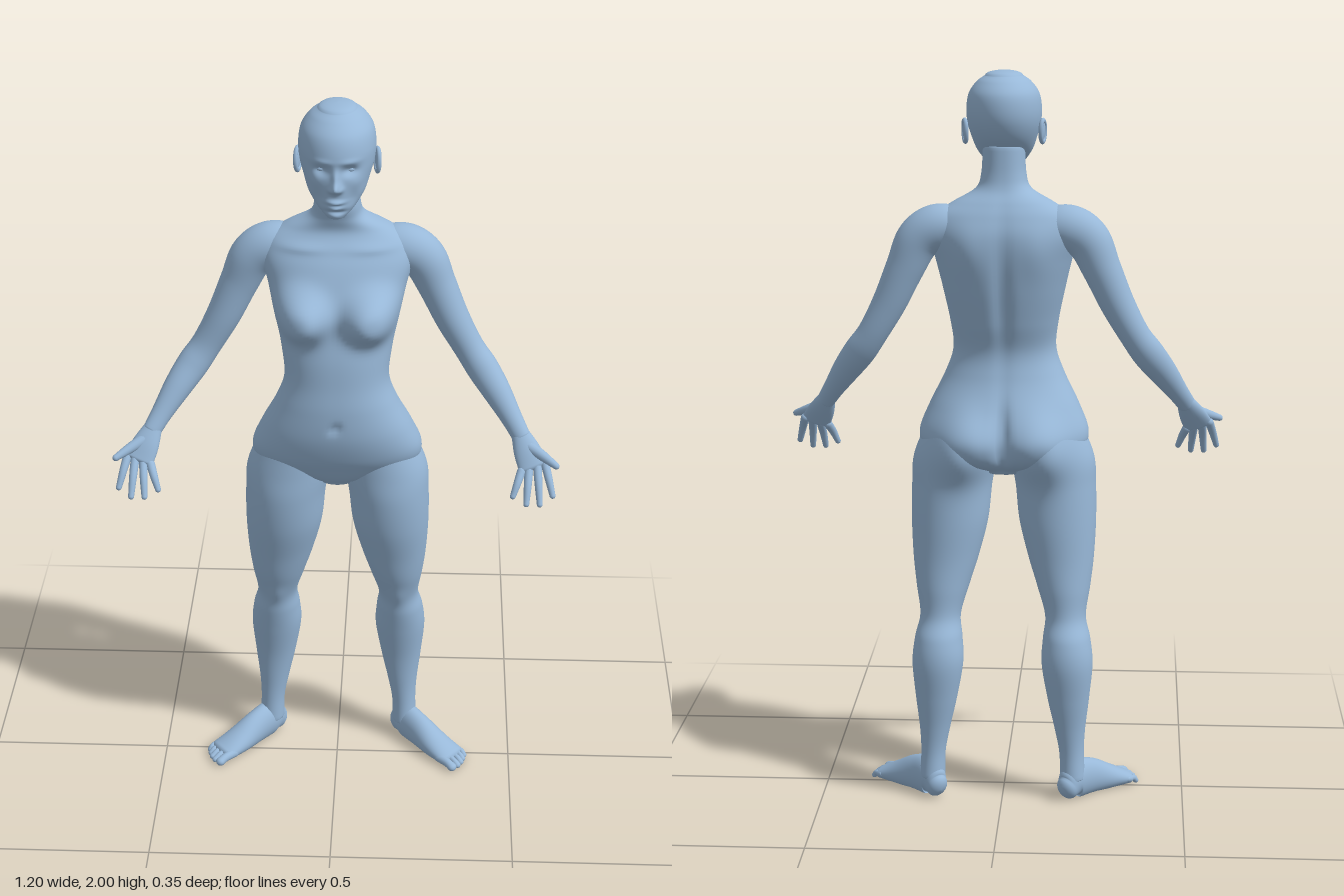
import * as THREE from 'three';

const V = (x, y, z) => new THREE.Vector3(x, y, z);
const UP = V(0, 1, 0), FRONT = V(0, 0, 1);
const skin = new THREE.MeshStandardMaterial({ color: 0x98b8d8 });
skin.name = 'skinBlue';

// Smooth skin over rings [x, y, z, a, b]; b lies along ref, a across it. Both ends are domed.
function loft(rings, { ref = FRONT, axis = null, around = 32, steps = 8, cap = 1, power = 1 } = {}) {
  const curve = (f) => new THREE.CatmullRomCurve3(rings.map(f), false, 'catmullrom', 0.5);
  const path = curve((r) => V(r[0], r[1], r[2]));
  const size = curve((r) => V(r[3], r[4], 0));
  const n = steps * (rings.length - 1), dome = 6;
  const pos = [], index = [];
  const bend = (v) => Math.sign(v) * Math.abs(v) ** power;
  for (let k = -dome; k <= n + dome; k++) {
    const t = Math.min(Math.max(k / n, 0), 1);
    const phi = ((k < 0 ? k : Math.max(k - n, 0)) / dome) * Math.PI / 2;
    const c = path.getPoint(t), s = size.getPoint(t);
    const dir = axis ? axis.clone() : path.getTangent(t);
    const side = dir.clone().cross(ref).normalize();
    const third = side.clone().cross(dir);
    c.addScaledVector(dir, Math.sin(phi) * Math.min(s.x, s.y) * cap);
    for (let j = 0; j < around; j++) {
      const q = (j / around) * Math.PI * 2;
      const p = c.clone()
        .addScaledVector(side, s.x * Math.cos(phi) * bend(Math.cos(q)))
        .addScaledVector(third, s.y * Math.cos(phi) * bend(Math.sin(q)));
      pos.push(p.x, p.y, p.z);
    }
  }
  for (let i = 0; i < n + 2 * dome; i++) {
    for (let j = 0; j < around; j++) {
      const a = i * around + j, b = i * around + ((j + 1) % around);
      index.push(a, a + around, b, b, a + around, b + around);
    }
  }
  const geo = new THREE.BufferGeometry();
  geo.setAttribute('position', new THREE.Float32BufferAttribute(pos, 3));
  geo.setIndex(index);
  geo.computeVertexNormals();
  return geo;
}

// Horizontal slices [y, halfWidth, zFront, zBack]
const slices = (list) => list.map(([y, w, f, b]) => [0, y, (f + b) / 2, w, (f - b) / 2]);

// Push vertices softly along z: bump = [centre, radii, amount, sharpness]
function sculpt(geo, bumps) {
  const p = geo.attributes.position;
  for (let i = 0; i < p.count; i++) {
    let dz = 0;
    const v = V().fromBufferAttribute(p, i);
    for (const [c, r, amount, sharp = 1] of bumps) {
      const d = ((v.x - c[0]) / r[0]) ** 2 + ((v.y - c[1]) / r[1]) ** 2 + ((v.z - c[2]) / r[2]) ** 2;
      dz += amount * Math.exp(-(d ** sharp));
    }
    p.setZ(i, v.z + dz);
  }
  geo.computeVertexNormals();
  return geo;
}
const pair = ([c, ...rest]) => [[c, ...rest], [[-c[0], c[1], c[2]], ...rest]];

function add(parent, name, geo) {
  const mesh = new THREE.Mesh(geo, skin);
  mesh.name = name;
  parent.add(mesh);
  return mesh;
}

const buttocks = pair([[0.1, 1.0, -0.13], [0.085, 0.09, 0.09], -0.05, 1.3]);

function buildTorso(body) {
  const geo = loft(slices([
    [0.925, 0.06, 0.05, -0.08], [0.95, 0.14, 0.075, -0.115], [0.985, 0.215, 0.098, -0.13],
    [1.03, 0.23, 0.122, -0.135], [1.1, 0.203, 0.142, -0.12], [1.18, 0.163, 0.146, -0.09],
    [1.25, 0.14, 0.14, -0.08], [1.33, 0.147, 0.133, -0.105], [1.42, 0.165, 0.115, -0.13],
    [1.5, 0.183, 0.1, -0.143], [1.57, 0.2, 0.072, -0.145], [1.62, 0.185, 0.042, -0.132],
    [1.655, 0.135, 0.024, -0.115], [1.69, 0.075, 0.03, -0.094], [1.73, 0.06, 0.04, -0.085],
    [1.8, 0.056, 0.04, -0.082],
  ]), { axis: UP, around: 112, cap: 0.3, power: 0.9 });
  add(body, 'torso', sculpt(geo, [
    ...buttocks,
    ...pair([[0.1, 1.45, 0.11], [0.076, 0.065, 0.13], 0.074, 1.5]),  // breasts
    ...pair([[0.09, 1.53, -0.13], [0.05, 0.07, 0.06], -0.01]),       // shoulder blades
    ...pair([[0.09, 1.615, 0.03], [0.07, 0.012, 0.06], 0.007]),      // collarbones
    [[0, 1.02, -0.14], [0.014, 0.08, 0.08], 0.03],                   // cleft
    [[0, 1.38, -0.13], [0.022, 0.2, 0.06], 0.013],                   // spine
    [[0, 1.14, 0.145], [0.012, 0.014, 0.05], -0.01],                 // navel
  ]));
}

function buildHead(body) {
  const head = new THREE.Group();
  head.name = 'head';
  body.add(head);
  const geo = loft(slices([
    [1.73, 0.028, 0.104, 0.04], [1.752, 0.05, 0.112, 0.0], [1.785, 0.073, 0.115, -0.055],
    [1.82, 0.086, 0.115, -0.098], [1.86, 0.097, 0.115, -0.122], [1.9, 0.1, 0.114, -0.13],
    [1.94, 0.093, 0.1, -0.124], [1.97, 0.072, 0.07, -0.1], [1.986, 0.05, 0.044, -0.075],
  ]), { axis: UP, around: 160, steps: 12, cap: 0.27 });
  add(head, 'skull', sculpt(geo, [
    [[0, 1.817, 0.115], [0.013, 0.014, 0.05], 0.024],                 // nose tip
    [[0, 1.838, 0.115], [0.009, 0.022, 0.05], 0.012],                 // nose bridge
    ...pair([[0.013, 1.811, 0.115], [0.008, 0.008, 0.05], 0.007]),    // nostrils
    ...pair([[0.036, 1.858, 0.105], [0.02, 0.013, 0.05], -0.014]),    // eye sockets
    ...pair([[0.036, 1.882, 0.105], [0.026, 0.008, 0.05], 0.004]),    // brows
    ...pair([[0.055, 1.825, 0.09], [0.02, 0.018, 0.05], 0.004]),      // cheekbones
    ...pair([[0.045, 1.782, 0.09], [0.018, 0.022, 0.05], -0.006]),    // cheek hollows
    [[0, 1.776, 0.115], [0.022, 0.006, 0.05], 0.01],                  // upper lip
    [[0, 1.761, 0.115], [0.018, 0.006, 0.05], 0.009],                 // lower lip
    [[0, 1.748, 0.11], [0.03, 0.006, 0.05], -0.005],                  // chin crease
    [[0, 1.735, 0.1], [0.022, 0.011, 0.05], 0.006],                   // chin
  ]));
  for (const s of [1, -1]) {
    const eye = add(head, 'eye', new THREE.SphereGeometry(1, 24, 16));
    eye.scale.set(0.015, 0.0085, 0.012);
    eye.position.set(s * 0.036, 1.858, 0.083);
    // Ear: a rim around a shallow bowl
    const ear = new THREE.Group();
    ear.name = 'ear';
    ear.position.set(s * 0.103, 1.84, -0.025);
    ear.rotation.set(-0.2, s * 0.3, 0);
    head.add(ear);
    const rim = add(ear, 'earRim', new THREE.TorusGeometry(0.024, 0.006, 10, 32));
    rim.rotation.y = Math.PI / 2;
    rim.scale.set(0.72, 1.2, 1);
    add(ear, 'earBowl', new THREE.SphereGeometry(1, 20, 14)).scale.set(0.005, 0.027, 0.017);
  }
}

function buildArm(body, s) {
  const arm = new THREE.Group();
  arm.name = s > 0 ? 'leftArm' : 'rightArm';
  body.add(arm);
  const m = (rings) => rings.map(([x, ...r]) => [s * x, ...r]);
  add(arm, 'armLimb', loft(m([
    [0.1, 1.583, -0.055, 0.05, 0.05], [0.17, 1.588, -0.055, 0.062, 0.062],
    [0.225, 1.555, -0.055, 0.06, 0.06], [0.262, 1.48, -0.055, 0.052, 0.053],
    [0.305, 1.385, -0.05, 0.046, 0.048], [0.352, 1.3, -0.045, 0.041, 0.042],
    [0.39, 1.245, -0.03, 0.043, 0.041], [0.43, 1.19, 0.0, 0.038, 0.036],
    [0.47, 1.13, 0.035, 0.029, 0.027], [0.497, 1.088, 0.062, 0.025, 0.021],
  ]), { around: 48, cap: 0.5 }));
  const palmUp = V(0, 0.53, 0.85);
  add(arm, 'palm', loft(m([
    [0.493, 1.096, 0.057, 0.024, 0.02], [0.512, 1.058, 0.082, 0.036, 0.019],
    [0.53, 1.022, 0.104, 0.041, 0.014],
  ]), { ref: palmUp, cap: 0.8 }));
  // Fingers, from little finger to index: [knuckle, tip]
  [[0.499, 1.009, 0.112, 0.477, 0.952, 0.15], [0.519, 1.015, 0.107, 0.513, 0.936, 0.163],
    [0.541, 1.023, 0.103, 0.549, 0.936, 0.163], [0.561, 1.03, 0.098, 0.583, 0.955, 0.148],
  ].forEach(([x, y, z, X, Y, Z]) => add(arm, 'finger', loft(m([
    [x, y, z, 0.012, 0.012], [(x + X) / 2, (y + Y) / 2 + 0.002, (z + Z) / 2 + 0.004, 0.0105, 0.0105],
    [X, Y, Z, 0.008, 0.008],
  ]), { around: 16 })));
  add(arm, 'thumb', loft(m([
    [0.512, 1.07, 0.076, 0.017, 0.017], [0.553, 1.052, 0.102, 0.014, 0.014], [0.59, 1.036, 0.13, 0.009, 0.009],
  ]), { around: 16 }));
}

function buildLeg(body, s) {
  const leg = new THREE.Group();
  leg.name = s > 0 ? 'leftLeg' : 'rightLeg';
  body.add(leg);
  const m = (rings) => rings.map(([x, ...r]) => [s * x, ...r]);
  add(leg, 'legLimb', sculpt(loft(m([
    [0.115, 1.05, -0.01, 0.095, 0.1], [0.132, 0.96, -0.015, 0.114, 0.109],
    [0.142, 0.88, -0.015, 0.11, 0.111], [0.148, 0.78, -0.022, 0.105, 0.105],
    [0.158, 0.68, -0.035, 0.09, 0.09], [0.166, 0.6, -0.048, 0.073, 0.08],
    [0.172, 0.52, -0.067, 0.056, 0.064], [0.176, 0.46, -0.085, 0.065, 0.073],
    [0.178, 0.39, -0.097, 0.07, 0.07], [0.182, 0.29, -0.1, 0.057, 0.052],
    [0.187, 0.2, -0.097, 0.042, 0.04], [0.192, 0.13, -0.095, 0.034, 0.036],
    [0.195, 0.06, -0.095, 0.035, 0.04],
  ]), { axis: UP.clone().negate(), around: 64, cap: 0.3 }), [
    ...buttocks,
    [[s * 0.17, 0.53, 0], [0.03, 0.035, 0.04], 0.007],  // kneecap
  ]));
  // Foot turned outwards, with a flat sole
  const sole = (geo) => {
    const p = geo.attributes.position;
    for (let i = 0; i < p.count; i++) p.setY(i, Math.max(p.getY(i), 0));
    geo.computeVertexNormals();
    return geo;
  };
  add(leg, 'foot', sole(loft(m([
    [0.182, 0.035, -0.117, 0.03, 0.036], [0.2, 0.05, -0.092, 0.035, 0.055],
    [0.238, 0.045, -0.05, 0.036, 0.052], [0.288, 0.028, -0.002, 0.043, 0.036],
    [0.332, 0.016, 0.035, 0.046, 0.02],
  ]), { ref: UP, around: 40, cap: 0.8 })));
  [[0.034, 0.04, 0.014], [0.012, 0.041, 0.01], [-0.006, 0.036, 0.0095], [-0.022, 0.028, 0.009], [-0.037, 0.018, 0.009],
  ].forEach(([across, len, r]) => {
    const x = 0.332 - 0.7 * across, z = 0.035 + 0.7 * across, d = 0.7 * len;
    add(leg, 'toe', sole(loft(m([
      [x - 0.01, 0.018, z - 0.01, r, r], [x + d / 2, 0.016, z + d / 2, r * 0.85, r * 0.9], [x + d, r * 0.8, z + d, r * 0.95, r * 0.85],
    ]), { ref: UP, around: 16 })));
  });
}

export function createModel() {
  const body = new THREE.Group();
  body.name = 'standingFigure';
  buildTorso(body);
  buildHead(body);
  for (const s of [1, -1]) {
    buildArm(body, s);
    buildLeg(body, s);
  }
  return body;
}
